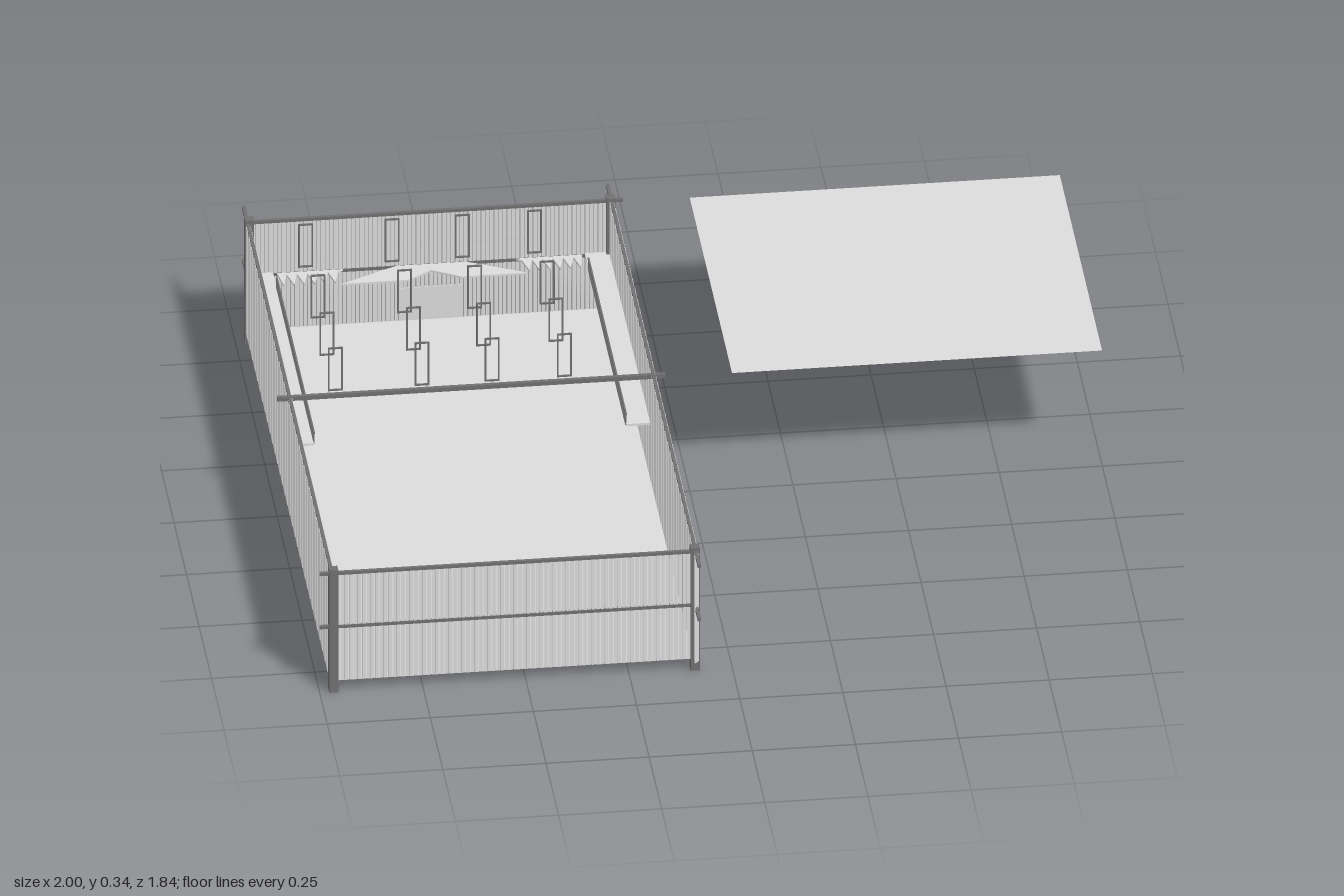
import * as THREE from 'three';
import { mergeGeometries } from 'three/addons/utils/BufferGeometryUtils.js';

export function createModel() {
  const model = new THREE.Group();
  const material = (name, color) => {
    const m = new THREE.MeshStandardMaterial({ color, side: THREE.DoubleSide });
    m.name = name;
    return m;
  };
  const light = material('lightGrey', 0xdcdcdc);
  const dark = material('darkGrey', 0x707070);

  const X0 = -0.97, X1 = -0.088, Z = 0.845, FLOOR = 0.03, TOP = 0.33, MID = 0.18;
  const XC = (X0 + X1) / 2;

  // Box geometry from its minimum and maximum corners
  const box = (x0, x1, y0, y1, z0, z1) =>
    new THREE.BoxGeometry(x1 - x0, y1 - y0, z1 - z0)
      .translate((x0 + x1) / 2, (y0 + y1) / 2, (z0 + z1) / 2);
  const add = (name, mat, ...geometries) => {
    const mesh = new THREE.Mesh(mergeGeometries(geometries), mat);
    mesh.name = name;
    model.add(mesh);
  };
  const sheet = (x0, x1, y, z0, z1) =>
    new THREE.PlaneGeometry(x1 - x0, z1 - z0).rotateX(-Math.PI / 2)
      .translate((x0 + x1) / 2, y, (z0 + z1) / 2);

  // Floor, and the roof sheet lifted off the back half
  add('frontFloor', light, sheet(X0, X1, FLOOR, 0, Z));
  add('backFloor', light, sheet(X0, X1, FLOOR, -Z, 0));
  add('liftedRoof', light, sheet(0.103, 1, 0.319, -0.85, -0.005));

  // Corner posts
  for (const x of [X0 + 0.004, X1 - 0.002])
    for (const z of [-Z + 0.003, Z - 0.003])
      add('cornerPost', dark, box(x - 0.011, x + 0.011, 0, 0.34, z - 0.011, z + 0.011));

  // End walls of close upright slats
  for (const [name, z] of [['frontWall', Z], ['backWall', -Z]]) {
    const slats = [];
    for (let x = X0; x < X1 - 0.009; x += 0.0105)
      slats.push(box(x, x + 0.009, FLOOR, TOP, z - 0.002, z + 0.002));
    add(name, light, ...slats);
  }

  // Long walls of overlapping slats, each turned like a louvre
  for (const [name, x, z0, z1] of [['leftWall', X1, -0.86, 0.87], ['rightWall', X0, -0.84, 0.84]]) {
    const slats = [];
    for (let z = z0; z <= z1; z += 0.0125)
      slats.push(new THREE.BoxGeometry(0.016, TOP - FLOOR, 0.0015).rotateY(Math.PI / 4)
        .translate(x, (TOP + FLOOR) / 2, z));
    add(name, light, ...slats);
  }

  // Rails, overshooting some of the corners
  const r = 0.004;
  for (const y of [MID, TOP - 0.002]) {
    add('frontRail', dark, box(-1, X1, y - r, y + r, Z - r, Z + r));
    add('backRail', dark, box(X0, -0.06, y - r, y + r, -Z - r, -Z + r));
    add('leftRail', dark, box(X1 - r, X1 + r, y - r, y + r, -0.92, 0.92));
    add('rightRail', dark, box(X0 - r, X0 + r, y - r, y + r, -0.92, Z));
  }
  add('middleRail', dark, box(-1, -0.06, TOP - 0.008, TOP + 0.003, -0.005, 0.005));

  // Side balconies with close uprights along the inner edge
  for (const [x0, x1, edge] of [[X0, -0.908, -0.908], [-0.152, X1, -0.152]]) {
    add('sideBalcony', light, box(x0, x1, MID, MID + 0.006, -Z, -0.02));
    const bars = [box(edge - 0.002, edge + 0.002, 0.212, 0.216, -0.77, -0.02)];
    for (let z = -0.77; z < -0.02; z += 0.01)
      bars.push(box(edge - 0.0015, edge + 0.0015, MID, 0.214, z, z + 0.004));
    add('balconyRailing', dark, ...bars);
  }

  // Notched back balcony and its corner pieces
  const slab = (name, points) => {
    const shape = new THREE.Shape(points.map(([x, z]) => new THREE.Vector2(x, -z)));
    add(name, light, new THREE.ExtrudeGeometry(shape, { depth: 0.005, bevelEnabled: false })
      .rotateX(-Math.PI / 2).translate(0, MID, 0));
  };
  slab('backBalcony', [[-0.75, -0.77], [-0.59, -0.77], [-0.53, -0.81], [-0.46, -0.77],
    [-0.3, -0.77], [-0.44, -0.84], [-0.61, -0.84]]);
  for (const s of [-1, 1]) {
    const at = (d) => XC + s * d;
    slab('cornerShelf', [[at(0.44), -0.84], [at(0.44), -0.77], [at(0.38), -0.83], [at(0.38), -0.84]]);
    const teeth = [[at(0.37), -0.84]];
    for (let i = 0; i < 6; i++)
      teeth.push([at(0.36 - i * 0.025), -0.78], [at(0.3475 - i * 0.025), -0.83]);
    teeth.push([at(0.21), -0.84]);
    slab('toothedShelf', teeth);
  }

  // Hatch low on the back wall
  add('backHatch', light, box(-0.6, -0.45, FLOOR, 0.12, -Z - 0.003, -Z + 0.003));

  // Hanging frames in rows
  for (const z of [-0.835, -0.59, -0.41, -0.24])
    for (const x of [-0.83, -0.62, -0.45, -0.275]) {
      const w = 0.018, t = 0.002;
      add('hangingFrame', dark,
        box(x - w, x - w + 2 * t, 0.2, 0.32, z - t, z + t),
        box(x + w - 2 * t, x + w, 0.2, 0.32, z - t, z + t),
        box(x - w, x + w, 0.2, 0.204, z - t, z + t),
        box(x - w, x + w, 0.316, 0.32, z - t, z + t));
    }
  return model;
}
